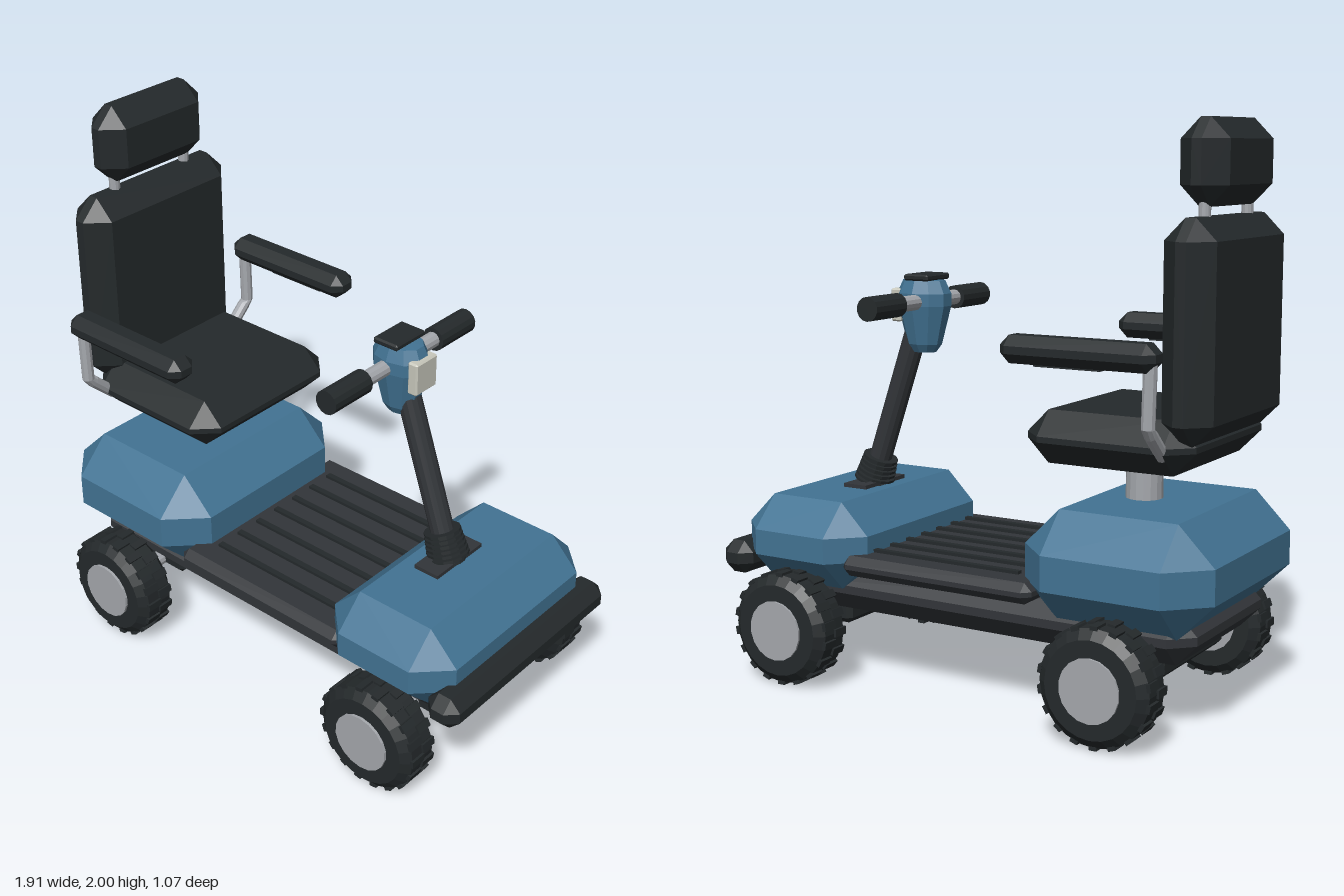
import * as THREE from 'three';
import { ConvexGeometry } from 'three/addons/geometries/ConvexGeometry.js';

const paint = (color) => new THREE.MeshStandardMaterial({ color, flatShading: true });
const black = paint(0x24292b), deckGrey = paint(0x323539), blue = paint(0x427393);
const metal = paint(0xa4a7ac), lens = paint(0xc8c8bc);

export function createModel() {
  const model = new THREE.Group();

  const add = (name, geometry, material, parent = model) => {
    const mesh = new THREE.Mesh(geometry, material);
    mesh.name = name;
    parent.add(mesh);
    return mesh;
  };

  // Box between two corners with every edge and corner cut by c
  const block = (name, material, [x0, x1], [y0, y1], [z0, z1], c, parent) => {
    const h = [(x1 - x0) / 2, (y1 - y0) / 2, (z1 - z0) / 2];
    const points = [];
    for (const sx of [-1, 1]) for (const sy of [-1, 1]) for (const sz of [-1, 1]) {
      for (let axis = 0; axis < 3; axis++) {
        const p = h.map((v, i) => (i === axis ? v : v - c));
        points.push(new THREE.Vector3(sx * p[0], sy * p[1], sz * p[2]));
      }
    }
    const mesh = add(name, new ConvexGeometry(points), material, parent);
    mesh.position.set((x0 + x1) / 2, (y0 + y1) / 2, (z0 + z1) / 2);
    return mesh;
  };

  // Cylinder between two points
  const rod = (name, material, a, b, r, sides = 12, parent) => {
    const from = new THREE.Vector3(...a), to = new THREE.Vector3(...b);
    const dir = to.clone().sub(from);
    const mesh = add(name, new THREE.CylinderGeometry(r, r, dir.length(), sides), material, parent);
    mesh.position.copy(from).add(to).multiplyScalar(0.5);
    mesh.quaternion.setFromUnitVectors(new THREE.Vector3(0, 1, 0), dir.normalize());
    return mesh;
  };

  // Chassis, body shells and bumper
  block('chassis', deckGrey, [-0.88, 0.8], [0.25, 0.43], [-0.34, 0.34], 0.075);
  block('rearBody', blue, [-0.96, -0.27], [0.35, 0.73], [-0.445, 0.445], 0.13);
  block('frontBody', blue, [0.355, 0.88], [0.345, 0.66], [-0.46, 0.46], 0.112);
  block('bumper', black, [0.82, 0.95], [0.365, 0.485], [-0.455, 0.455], 0.04);

  // Footboard with anti-slip ribs
  block('footboard', deckGrey, [-0.34, 0.43], [0.412, 0.485], [-0.42, 0.42], 0.028);
  for (let i = -3; i <= 3; i++) {
    const rib = add('footboardRib', new THREE.BoxGeometry(0.6, 0.02, 0.022), black);
    rib.position.set(0.06, 0.486, i * 0.1);
  }

  // Tyre profile, revolved around the axle
  const tyreProfile = [[0.09, -0.08], [0.165, -0.08], [0.198, -0.052], [0.198, 0.052], [0.165, 0.08], [0.09, 0.08]]
    .map(([r, z]) => new THREE.Vector2(r, z));
  const tyreGeometry = new THREE.LatheGeometry(tyreProfile, 24).rotateX(Math.PI / 2);
  const lugGeometry = new THREE.BoxGeometry(0.028, 0.014, 0.06);

  for (const x of [-0.63, 0.63]) {
    rod('axle', metal, [x, 0.21, -0.4], [x, 0.21, 0.4], 0.03);
    block('axleHousing', black, [x - 0.12, x + 0.12], [0.18, 0.31], [-0.25, 0.25], 0.02);
    for (const side of [-1, 1]) {
      const wheel = new THREE.Group();
      wheel.name = 'wheel';
      wheel.position.set(x, 0.21, side * 0.446);
      model.add(wheel);
      add('tyre', tyreGeometry, black, wheel);
      rod('hub', metal, [0, 0, -0.082], [0, 0, 0.09 * side], 0.108, 18, wheel);
      // Two staggered rows of tread lugs
      for (let i = 0; i < 36; i++) {
        const angle = (i / 36) * Math.PI * 2;
        const lug = add('treadLug', lugGeometry, black, wheel);
        lug.position.set(Math.sin(angle) * 0.198, Math.cos(angle) * 0.198, i % 2 ? 0.028 : -0.028);
        lug.rotation.z = -angle;
      }
    }
  }

  // Seat
  rod('seatPost', metal, [-0.555, 0.7, 0], [-0.555, 0.9, 0], 0.064, 16);
  block('seatCushion', black, [-0.865, -0.25], [0.87, 1.05], [-0.345, 0.345], 0.08);
  block('backrest', black, [-0.925, -0.745], [0.97, 1.69], [-0.345, 0.345], 0.072);
  block('headrest', black, [-0.92, -0.75], [1.72, 2.0], [-0.242, 0.242], 0.068);

  for (const side of [-1, 1]) {
    rod('headrestPost', metal, [-0.835, 1.64, side * 0.17], [-0.835, 1.78, side * 0.17], 0.02);
    // Armrest on a bent tube
    const z = side * 0.418;
    block('armrest', black, [-0.805, -0.25], [1.22, 1.312], [z - 0.058, z + 0.058], 0.033);
    const bend = new THREE.CurvePath();
    const stops = [[-0.77, 0.94, side * 0.31], [-0.77, 1.04, z], [-0.775, 1.25, z]]
      .map((p) => new THREE.Vector3(...p));
    bend.add(new THREE.LineCurve3(stops[0], stops[1]));
    bend.add(new THREE.LineCurve3(stops[1], stops[2]));
    add('armrestSupport', new THREE.TubeGeometry(bend, 12, 0.023, 10), metal);
    const plate = add('armrestPlate', new THREE.BoxGeometry(0.24, 0.02, 0.04), black);
    plate.position.set(-0.49, 1.224, z);
  }

  // Steering column with rubber bellows
  const columnAt = (y) => [0.576 - (y - 0.66) * 0.344, y, 0];
  const plate = add('columnPlate', new THREE.BoxGeometry(0.1, 0.02, 0.25), deckGrey);
  plate.position.set(0.572, 0.664, 0);
  rod('steeringColumn', deckGrey, columnAt(0.62), columnAt(1.25), 0.042, 14);
  for (let i = 0; i < 6; i++) {
    const y = 0.67 + i * 0.017;
    rod('bellowsRing', black, columnAt(y), columnAt(y + 0.009), 0.076 - i * 0.002, 14);
  }
  rod('bellowsCore', black, columnAt(0.65), columnAt(0.76), 0.058, 14);

  // Control head
  const headProfile = [[0, 1.17], [0.045, 1.17], [0.068, 1.2], [0.105, 1.34], [0.105, 1.385], [0.082, 1.432], [0, 1.437]]
    .map(([r, y]) => new THREE.Vector2(r, y));
  const head = add('controlHead', new THREE.LatheGeometry(headProfile, 10), blue);
  head.scale.z = 0.77;
  head.position.x = 0.34;
  block('controlPanel', black, [0.278, 0.38], [1.432, 1.455], [-0.075, 0.075], 0.006);
  block('headlight', lens, [0.41, 0.45], [1.28, 1.4], [-0.055, 0.055], 0.006);

  // Handlebar and grips
  rod('handlebar', metal, [0.33, 1.355, -0.3], [0.33, 1.355, 0.3], 0.028);
  for (const side of [-1, 1]) {
    rod('grip', black, [0.33, 1.355, side * 0.185], [0.33, 1.355, side * 0.367], 0.043, 14);
  }

  return model;
}
